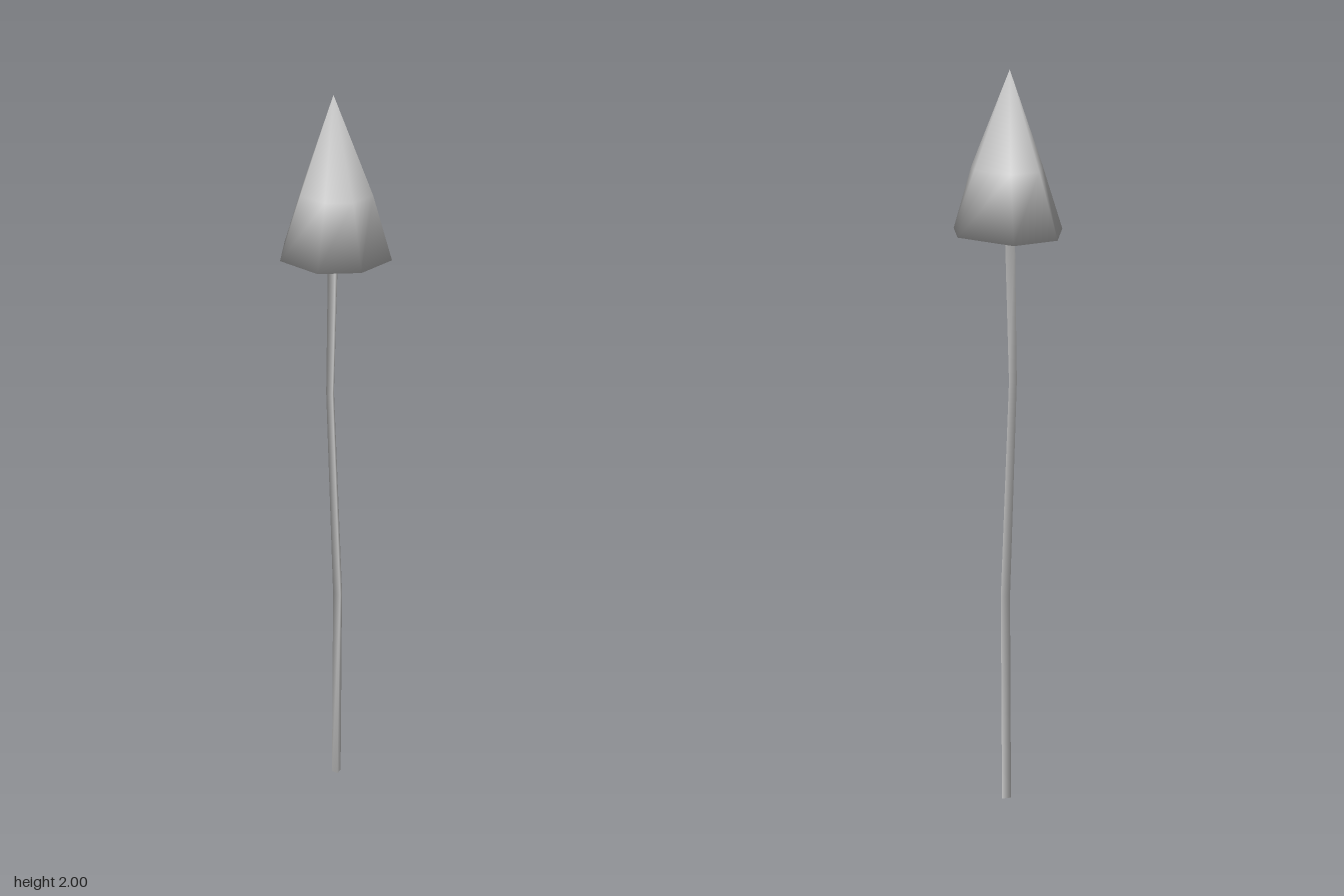
import * as THREE from 'three';

// Joins rings of points (bottom to top, each going round the y axis) into a smooth skin.
function skin(rings) {
  const n = rings[0].length;
  const index = [];
  for (let r = 0; r < rings.length - 1; r++) {
    for (let i = 0; i < n; i++) {
      const a = r * n + i, b = r * n + (i + 1) % n;
      index.push(a, b, b + n, a, b + n, a + n);
    }
  }
  const geometry = new THREE.BufferGeometry();
  geometry.setAttribute('position', new THREE.Float32BufferAttribute(rings.flat(2), 3));
  geometry.setIndex(index);
  geometry.computeVertexNormals();
  return geometry;
}

export function createModel() {
  const group = new THREE.Group();
  const material = new THREE.MeshStandardMaterial({ color: 0xcccccc, side: THREE.DoubleSide });
  const add = (name, geometry) => {
    const mesh = new THREE.Mesh(geometry, material);
    mesh.name = name;
    group.add(mesh);
  };

  // Pointed cap: uneven seven-sided rim, slightly bulging middle, recessed underside
  const rim = [
    [0.138, -0.022], [0.02, -0.135], [-0.098, -0.106], [-0.139, 0.012],
    [-0.07, 0.112], [0.035, 0.133], [0.128, 0.078],
  ];
  // [scale of the rim, x and z shift, y, upward part of the normal]
  const levels = [
    [0, 0, 1.67, -1],
    [1, 0, 1.59, -0.62],
    [0.645, 0.003, 1.755, 0.35],
    [0, 0, 2, 1],
  ];
  const cap = skin(levels.map(([s, d, y]) => rim.map(([x, z]) => [x * s + d, y, z * s + d])));
  // One rounded shading runs from the tip over the rim to the underside
  const normals = levels.flatMap(([, , , up]) => rim.flatMap(([x, z]) => {
    const out = Math.sqrt(1 - up * up) / Math.hypot(x, z);
    return [x * out, up, z * out];
  }));
  cap.setAttribute('normal', new THREE.Float32BufferAttribute(normals, 3));
  add('cap', cap);

  // Thin crooked three-sided stem, running up into the cap: [x, y, z, x radius, z radius]
  const path = [
    [0.012, 0, -0.009, 0, 0],
    [0.012, 0, -0.009, 0.0145, 0.009],
    [0.013, 0.6, 0.003, 0.0145, 0.018],
    [-0.006, 1.2, -0.003, 0.012, 0.016],
    [0.002, 1.6, -0.003, 0.015, 0.016],
    [0.002, 1.7, -0.002, 0.012, 0.012],
  ];
  add('stem', skin(path.map(([x, y, z, rx, rz]) => [0, 1, 2].map((i) => {
    const a = i * Math.PI * 2 / 3 - Math.PI / 2;
    return [x + rx * Math.cos(a), y, z - rz * Math.sin(a)];
  }))));

  return group;
}
